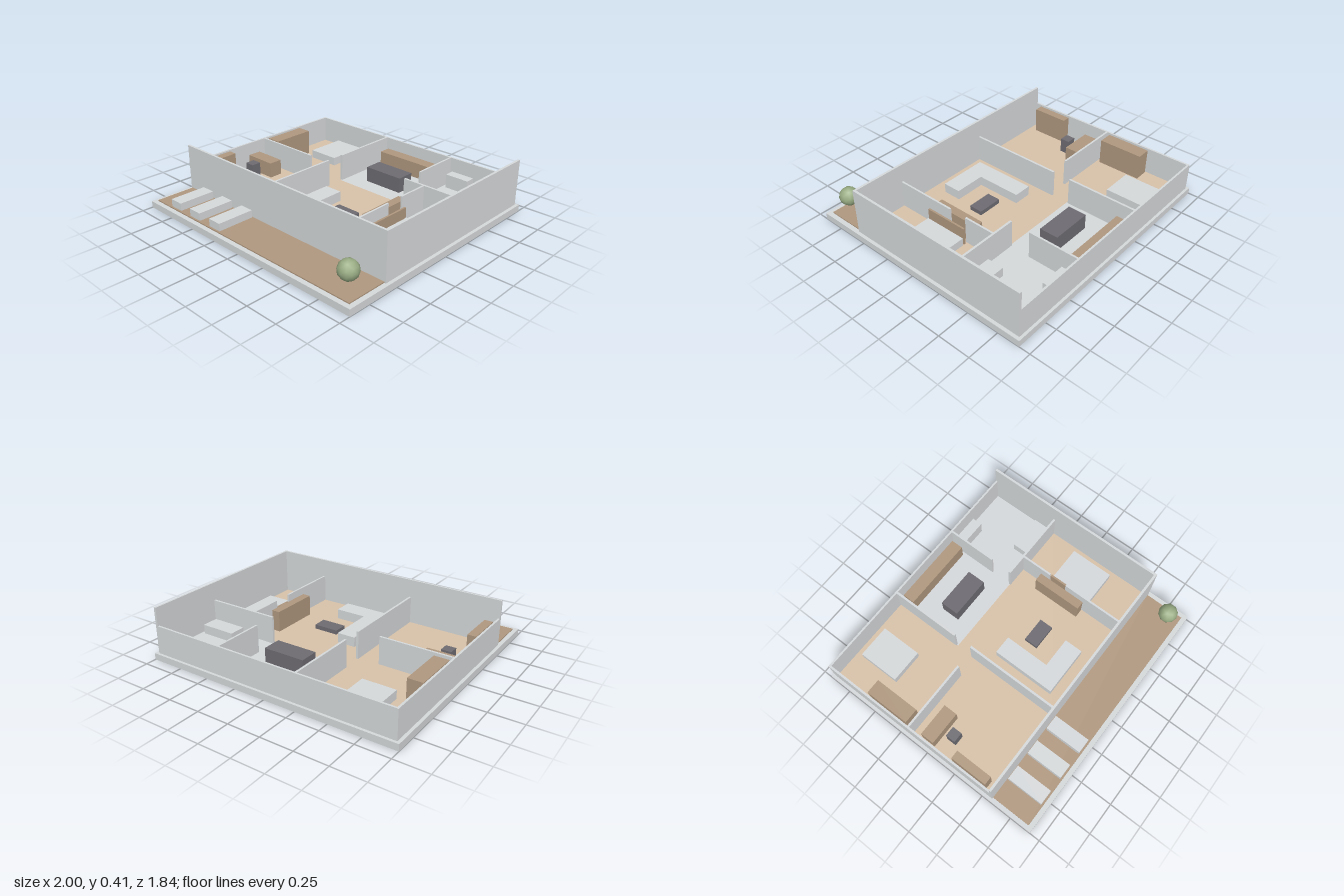
import * as THREE from 'three';

const mat = (name, color) => {
  const m = new THREE.MeshStandardMaterial({ color });
  m.name = name;
  return m;
};

export function createModel() {
  const grey = mat('pale grey', 0xd6d9db);
  const tan = mat('light wood', 0xd8c2a9);
  const brown = mat('brown wood', 0xb0987f);
  const dark = mat('charcoal', 0x6e6c72);
  const green = mat('leaf green', 0x9aae85);

  const model = new THREE.Group();
  model.name = 'housePlan';

  const group = (name) => {
    const g = new THREE.Group();
    g.name = name;
    model.add(g);
    return g;
  };

  // Box given by its extents in x and z, its top and its base
  const block = (parent, name, material, x0, x1, z0, z1, top, base = 0.05) => {
    const mesh = new THREE.Mesh(new THREE.BoxGeometry(x1 - x0, top - base, z1 - z0), material);
    mesh.position.set((x0 + x1) / 2, (base + top) / 2, (z0 + z1) / 2);
    mesh.name = name;
    parent.add(mesh);
  };

  // Base slab, floors and front deck
  const ground = group('ground');
  block(ground, 'slab', grey, -1, 1, -0.918, 0.918, 0.05, 0);
  block(ground, 'bedroomFloor', tan, -0.963, -0.245, -0.885, 0.555, 0.055);
  block(ground, 'livingFloor', tan, -0.245, 0.957, -0.325, 0.555, 0.055);
  block(ground, 'kitchenFloor', grey, -0.245, 0.957, -0.885, -0.325, 0.055);
  block(ground, 'deck', brown, -0.967, 0.963, 0.573, 0.882, 0.058);

  // Outer walls: front and left side are tall, the others are cut low
  const HIGH = 0.405, LOW = 0.265;
  const walls = group('walls');
  block(walls, 'frontWall', grey, -0.977, 0.975, 0.556, 0.574, HIGH);
  block(walls, 'leftWall', grey, 0.957, 0.975, -0.898, 0.556, HIGH);
  block(walls, 'backWall', grey, -0.977, 0.957, -0.898, -0.883, LOW);
  block(walls, 'rightWall', grey, -0.977, -0.961, -0.883, 0.556, LOW);

  // Inner walls: x0, x1, z0, z1
  [
    [-0.254, -0.237, -0.883, -0.335],
    [-0.254, -0.237, -0.19, 0.556],
    [0.39, 0.405, -0.883, -0.495],
    [0.39, 0.957, -0.335, -0.318],
    [0.555, 0.57, -0.318, -0.075],
    [0.555, 0.57, 0.07, 0.556],
    [-0.961, -0.413, -0.175, -0.159],
  ].forEach((w) => block(walls, 'innerWall', grey, ...w, LOW));

  // Bedrooms
  const bedrooms = group('bedrooms');
  block(bedrooms, 'mainBed', grey, -0.745, -0.488, -0.826, -0.505, 0.12);
  block(bedrooms, 'wardrobe', brown, -0.95, -0.837, -0.553, -0.2, 0.257);
  block(bedrooms, 'secondBed', grey, 0.607, 0.9, -0.083, 0.256, 0.115);
  block(bedrooms, 'headboard', brown, 0.585, 0.6, -0.083, 0.256, 0.19);

  // Study
  const study = group('study');
  block(study, 'desk', brown, -0.94, -0.68, -0.084, 0.024, 0.175);
  block(study, 'chair', dark, -0.842, -0.764, 0.061, 0.137, 0.17);
  block(study, 'bookcase', brown, -0.95, -0.885, 0.206, 0.498, 0.257);

  // Kitchen and bathroom
  const services = group('kitchenAndBath');
  block(services, 'counter', brown, -0.21, 0.367, -0.868, -0.773, 0.178);
  block(services, 'island', dark, -0.083, 0.24, -0.602, -0.457, 0.174);
  block(services, 'vanity', grey, 0.433, 0.625, -0.868, -0.788, 0.162);
  block(services, 'bathtub', grey, 0.655, 0.931, -0.487, -0.359, 0.125);

  // Living room
  const living = group('livingRoom');
  block(living, 'sofaLong', grey, -0.13, 0.013, -0.05, 0.446, 0.13);
  block(living, 'sofaShort', grey, 0.013, 0.255, 0.303, 0.446, 0.13);
  block(living, 'coffeeTable', dark, 0.094, 0.288, 0.048, 0.155, 0.088);
  block(living, 'cabinet', brown, 0.481, 0.546, -0.147, 0.239, 0.215);

  // Deck loungers and round bush
  const outside = group('deckItems');
  for (const x of [-0.75, -0.526, -0.303]) {
    block(outside, 'lounger', grey, x - 0.056, x + 0.056, 0.582, 0.868, 0.115);
  }
  const bush = new THREE.Mesh(new THREE.IcosahedronGeometry(0.072, 1), green);
  bush.name = 'bush';
  bush.position.set(0.868, 0.197, 0.788);
  outside.add(bush);

  return model;
}
